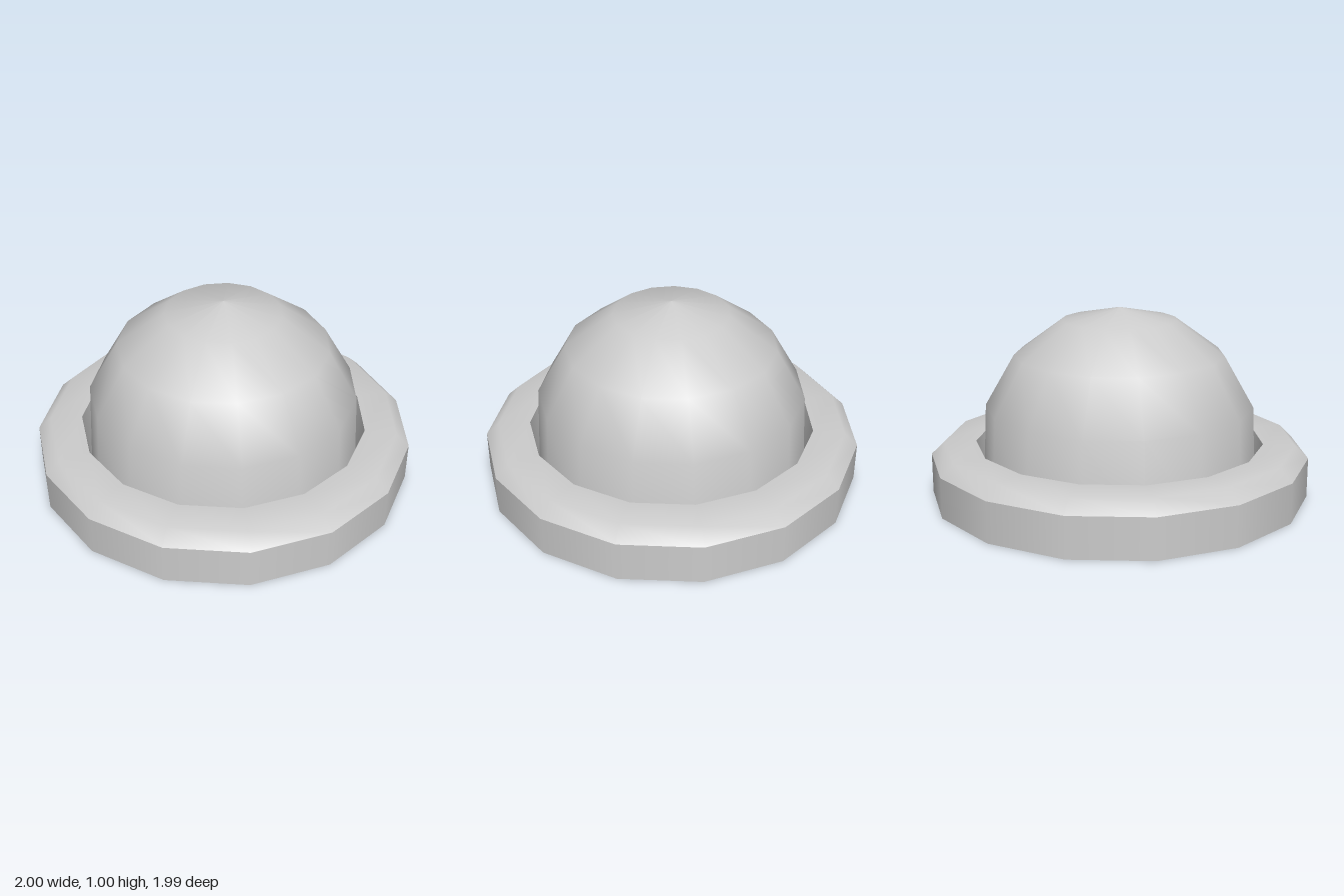
import * as THREE from 'three';

const SIDES = 15;

export function createModel() {
  const group = new THREE.Group();
  const material = new THREE.MeshStandardMaterial({ color: 0xcccccc });

  // Each profile is a smooth strip; separate strips meet in a sharp edge.
  function turned(name, profiles) {
    const part = new THREE.Group();
    part.name = name;
    for (const [label, points] of Object.entries(profiles)) {
      const profile = points.map(([r, y]) => new THREE.Vector2(r, y));
      const mesh = new THREE.Mesh(new THREE.LatheGeometry(profile, SIDES, Math.PI), material);
      mesh.name = label;
      part.add(mesh);
    }
    group.add(part);
  }

  // Ring base with a chamfered rim and a slightly tapered hole
  turned('baseRing', {
    ringUnderside: [[0.735, 0], [1.0055, 0]],
    ringOuterWall: [[1.0055, 0], [1.0055, 0.212]],
    ringTop: [[1.0055, 0.212], [0.935, 0.28], [0.767, 0.28]],
    ringInnerWall: [[0.767, 0.28], [0.735, 0]],
  });

  // Dome: nearly straight lower wall, then a sphere in steps of 24 degrees
  const radius = 0.746, centreY = 0.249;
  const dome = [[0.733, 0.003]];
  for (let step = 3; step >= 0; step--) {
    const a = THREE.MathUtils.degToRad(24 * step);
    dome.push([radius * Math.sin(a), centreY + radius * Math.cos(a)]);
  }
  turned('dome', {
    domeShell: dome,
    domeUnderside: [[0, 0.003], [0.733, 0.003]],
  });

  // Odd side count: shift so the depth is centred
  group.children.forEach((part) => { part.position.z = 0.011; });
  return group;
}
